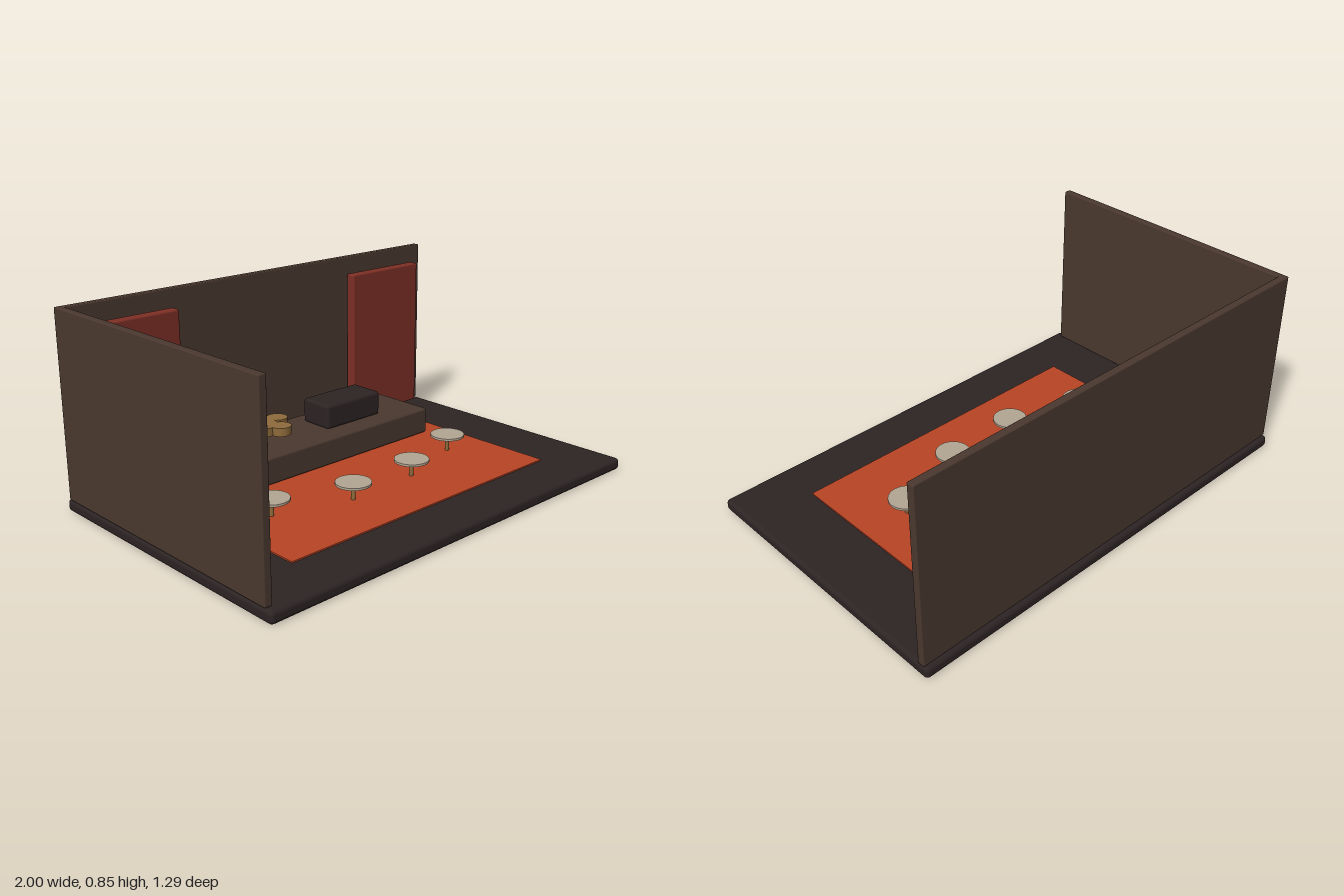
import * as THREE from 'three';
import { RoundedBoxGeometry } from 'three/addons/geometries/RoundedBoxGeometry.js';

const mat = (name, color) => {
  const m = new THREE.MeshStandardMaterial({ color });
  m.name = name;
  return m;
};

export function createModel() {
  const room = new THREE.Group();
  room.name = 'loungeRoom';
  const charcoal = mat('charcoal', 0x2d2424);
  const brown = mat('brown', 0x4a382f);
  const red = mat('darkRed', 0x7e2f25);
  const orange = mat('rugOrange', 0xb94425);
  const brass = mat('brass', 0x8e6b3b);
  const cream = mat('cream', 0xb3a593);

  const add = (name, geometry, material, parent = room) => {
    const mesh = new THREE.Mesh(geometry, material);
    mesh.name = name;
    parent.add(mesh);
    return mesh;
  };

  // Soft-edged box given by its extents on each axis
  const box = (name, material, [x0, x1], [y0, y1], [z0, z1], radius) =>
    add(name, new RoundedBoxGeometry(x1 - x0, y1 - y0, z1 - z0, 3, radius), material)
      .position.set((x0 + x1) / 2, (y0 + y1) / 2, (z0 + z1) / 2);

  // Floor slab and the two walls
  box('floor', charcoal, [-1, 1], [0, 0.053], [-0.645, 0.645], 0.018);
  box('backWall', brown, [-0.998, 0.998], [0.053, 0.848], [-0.627, -0.595], 0.005);
  box('sideWall', brown, [-0.998, -0.965], [0.053, 0.848], [-0.615, 0.611], 0.005);

  // Rug
  add('rug', new THREE.BoxGeometry(1.44, 0.008, 0.91), orange).position.set(0, 0.055, -0.033);

  // Tall panels by the back wall
  for (const side of [-1, 1]) {
    const xs = side < 0 ? [-0.925, -0.492] : [0.488, 0.918];
    box(side < 0 ? 'rightPanel' : 'leftPanel', red, xs, [0.07, 0.773], [-0.577, -0.528], 0.008);
  }

  // Long counter with a case on top
  box('counter', brown, [-0.617, 0.612], [0.062, 0.18], [-0.497, -0.165], 0.01);
  box('case', charcoal, [0.08, 0.4], [0.175, 0.287], [-0.43, -0.264], 0.015);

  // Brass discs above the counter
  [[-0.225, -0.36, 0.075], [-0.115, -0.38, 0.046], [-0.172, -0.285, 0.045]].forEach(([x, z, r], i) =>
    add(`brassDisc${i + 1}`, new THREE.CylinderGeometry(r, r, 0.037, 24), brass).position.set(x, 0.238, z));

  // Small round tables
  [[-0.52, 0.068], [-0.18, 0.17], [0.172, 0.156], [0.511, 0.055]].forEach(([x, z], i) => {
    const table = new THREE.Group();
    table.name = `roundTable${i + 1}`;
    table.position.set(x, 0, z);
    add('tableTop', new THREE.CylinderGeometry(0.075, 0.075, 0.01, 28), cream, table).position.y = 0.131;
    add('tableLeg', new THREE.CylinderGeometry(0.009, 0.009, 0.07, 14), brass, table).position.y = 0.093;
    room.add(table);
  });

  return room;
}
